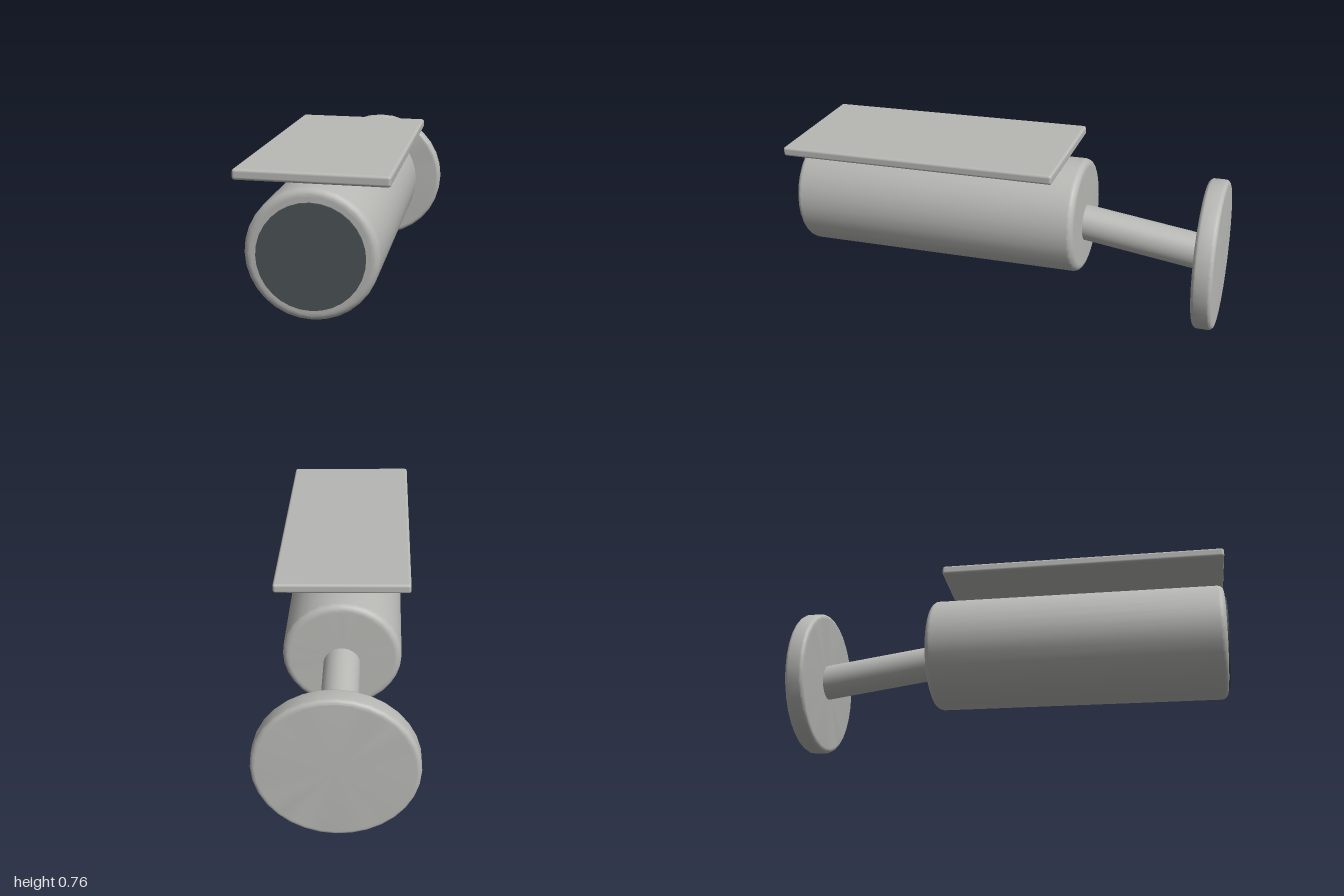
import * as THREE from 'three';
import { toCreasedNormals } from 'three/addons/utils/BufferGeometryUtils.js';
import { RoundedBoxGeometry } from 'three/addons/geometries/RoundedBoxGeometry.js';

const TILT = 0.03;

// Solid cylinder along z with rounded rims
function roundedDisc(radius, length, bevel) {
  const h = length / 2, steps = 6, inner = radius - bevel;
  const points = [new THREE.Vector2(0, -h), new THREE.Vector2(inner - 0.004, -h)];
  for (const side of [-1, 1]) {
    for (let i = 0; i <= steps; i++) {
      const a = (side < 0 ? i - steps : i) / steps * Math.PI / 2;
      points.push(new THREE.Vector2(inner + bevel * Math.cos(a), side * (h - bevel) + bevel * Math.sin(a)));
    }
  }
  points.push(new THREE.Vector2(inner - 0.004, h), new THREE.Vector2(0, h));
  const geometry = new THREE.LatheGeometry(points, 32);
  geometry.rotateX(Math.PI / 2);
  return toCreasedNormals(geometry, 0.3);
}

export function createModel() {
  const model = new THREE.Group();
  model.name = 'securityCamera';

  const grey = new THREE.MeshStandardMaterial({ color: 0xb8b8b5 });
  grey.name = 'light grey';
  const dark = new THREE.MeshStandardMaterial({ color: 0x4c5358 });
  dark.name = 'dark glass';

  function add(name, geometry, material, parent, x, y, z) {
    const mesh = new THREE.Mesh(geometry, material);
    mesh.name = name;
    mesh.position.set(x, y, z);
    parent.add(mesh);
    return mesh;
  }

  // Housing and lens, tipped slightly downward at the front
  const head = new THREE.Group();
  head.name = 'cameraHead';
  head.position.set(0, 0.42, 0.308);
  head.rotation.x = TILT;
  model.add(head);
  add('housing', roundedDisc(0.26, 1.352, 0.03), grey, head, 0, 0, 0);
  const lens = new THREE.CylinderGeometry(0.21, 0.21, 0.009, 32);
  lens.rotateX(Math.PI / 2);
  add('lens', lens, dark, head, 0, -0.003, 0.6795);

  // Sun shield floating above the housing
  const shield = add('sunShield', new RoundedBoxGeometry(0.595, 0.043, 1.28, 3, 0.012), grey, model, 0.004, 0.716, 0.358);
  shield.rotation.set(0.028, 0, -0.018);

  // Arm between housing and wall plate
  const from = new THREE.Vector3(0, 0.413, -0.31);
  const to = new THREE.Vector3(0, 0.34, -0.92);
  const arm = add('arm', new THREE.CylinderGeometry(0.081, 0.081, from.distanceTo(to), 32), grey, model, 0, 0, 0);
  arm.position.copy(from).lerp(to, 0.5);
  arm.quaternion.setFromUnitVectors(new THREE.Vector3(0, 1, 0), to.clone().sub(from).normalize());

  // Round wall plate
  const plate = add('wallPlate', roundedDisc(0.336, 0.088, 0.02), grey, model, 0, 0.34, -0.946);
  plate.rotation.x = TILT;

  return model;
}
